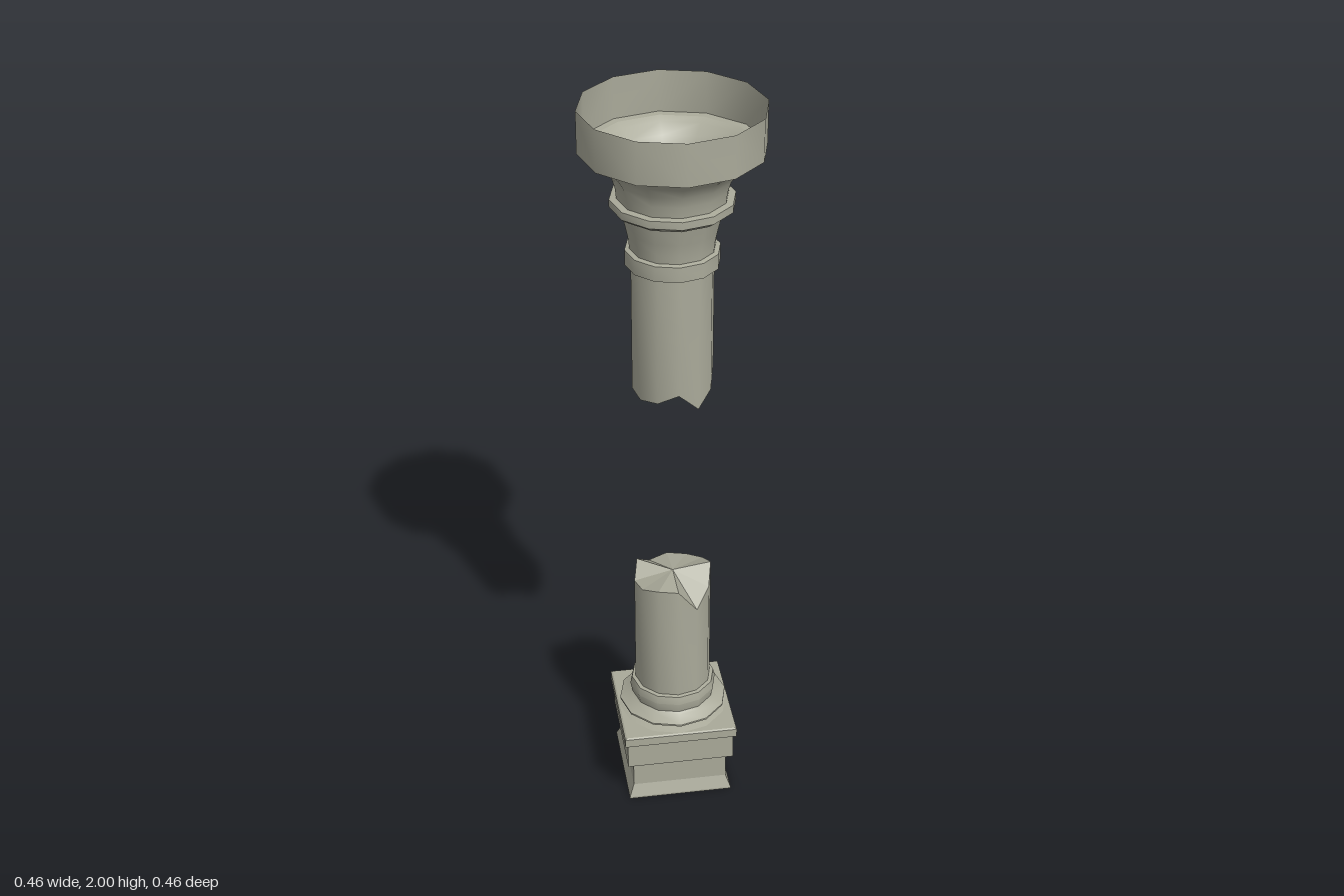
import * as THREE from 'three';
import { toCreasedNormals } from 'three/addons/utils/BufferGeometryUtils.js';

const SIDES = 12;
const SHAFT = 0.104;

export function createModel() {
  const model = new THREE.Group();
  model.name = 'brokenColumn';
  const stone = new THREE.MeshStandardMaterial({ color: 0xaaaa9a, side: THREE.DoubleSide });
  stone.name = 'weathered stone';

  // Turned part; an optional list of heights replaces one ring of the profile
  function turned(name, profile, { sides = SIDES, crease = 0.6, ring = -1, heights = null } = {}) {
    const points = profile.map(([r, y]) => new THREE.Vector2(r, y));
    const geometry = new THREE.LatheGeometry(points, sides);
    if (heights) {
      const pos = geometry.attributes.position;
      for (let k = 0; k <= sides; k++) pos.setY(k * points.length + ring, heights[k % sides]);
    }
    const mesh = new THREE.Mesh(toCreasedNormals(geometry, crease), stone);
    mesh.name = name;
    model.add(mesh);
    return mesh;
  }

  // Square plinth: half-widths become corner radii of a four-sided turning
  const plinth = [
    [0.143, 0], [0.143, 0.005], [0.13, 0.04], [0.13, 0.115], [0.147, 0.12],
    [0.147, 0.192], [0.155, 0.197], [0.155, 0.222], [0.15, 0.225], [0, 0.225],
  ].map(([h, y]) => [h * Math.SQRT2, y]);
  turned('plinth', plinth, { sides: 4, crease: 0.3 }).geometry.rotateY(Math.PI / 4);

  // Round base mouldings
  turned('baseMouldings', [
    [0.15, 0.225], [0.125, 0.232], [0.125, 0.238], [0.148, 0.246], [0.148, 0.251],
    [0.12, 0.264], [0.113, 0.27], [0.119, 0.298], [0.114, 0.32], [SHAFT, 0.322],
  ]);

  // Lower shaft with its jagged top
  const lowerBreak = [0.665, 0.595, 0.64, 0.685, 0.665, 0.655, 0.655, 0.645, 0.68, 0.645, 0.65, 0.665];
  turned('lowerShaft', [[SHAFT, 0.322], [SHAFT, 0.66]], { ring: 1, heights: lowerBreak });
  turned('lowerBreak', [[SHAFT, 0.66], [0, 0.67]], { ring: 0, heights: lowerBreak, crease: 0.04 });

  // Upper shaft with its jagged bottom
  const upperBreak = [1.27, 1.22, 1.255, 1.3, 1.255, 1.24, 1.245, 1.245, 1.27, 1.245, 1.238, 1.245];
  turned('upperBreak', [[0, 1.295], [SHAFT, 1.25]], { ring: 1, heights: upperBreak, crease: 0.04 });
  turned('upperShaft', [[SHAFT, 1.25], [SHAFT, 1.59]], { ring: 0, heights: upperBreak });

  // Neck band, flared bell and open rim of the capital
  turned('neckBand', [[SHAFT, 1.59], [0.119, 1.594], [0.119, 1.634], [0.107, 1.637]]);
  turned('capitalNeck', [
    [0.107, 1.637], [0.109, 1.66], [0.115, 1.69], [0.126, 1.735], [0.137, 1.737],
    [0.155, 1.75], [0.155, 1.77], [0.137, 1.772],
  ]);
  turned('capitalBell', [
    [0.137, 1.772], [0.14, 1.80], [0.149, 1.828], [0.166, 1.855], [0.195, 1.88], [0.212, 1.89],
  ]);
  turned('capitalRim', [[0.212, 1.89], [0.23, 1.892], [0.23, 2]]);

  return model;
}
